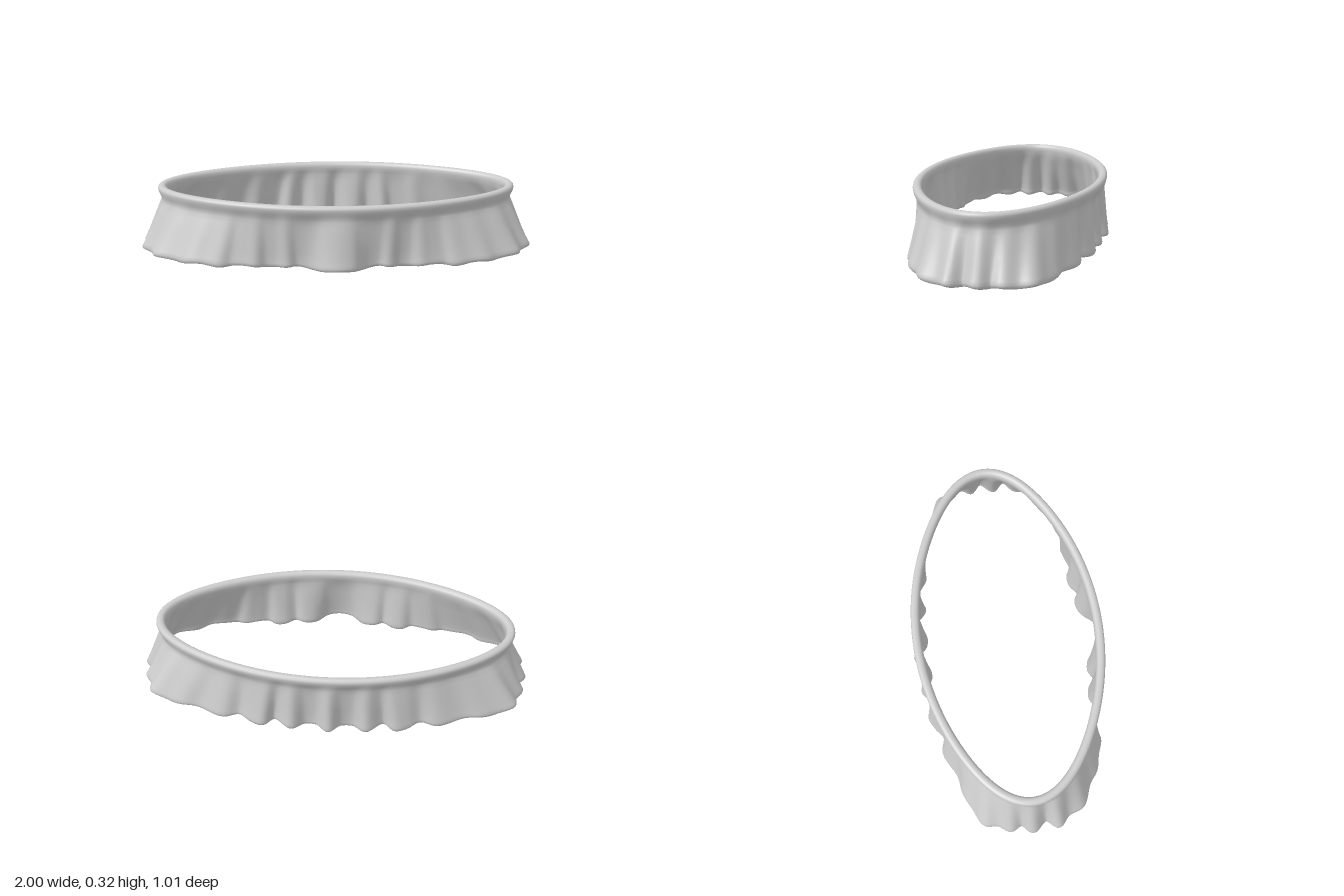
import * as THREE from 'three';

const SEGMENTS = 360;

// Right half of the pleated hem as [x, z], from centre front round to centre back
const HEM_HALF = [
  [0, 0.497], [0.07, 0.48], [0.115, 0.435], [0.15, 0.41], [0.2, 0.4], [0.245, 0.42],
  [0.3, 0.388], [0.35, 0.382], [0.4, 0.405], [0.46, 0.388], [0.52, 0.375], [0.575, 0.388],
  [0.65, 0.362], [0.73, 0.34], [0.79, 0.295], [0.9, 0.243], [0.93, 0.165], [0.983, 0.11],
  [0.94, 0.05], [0.99, -0.02], [0.945, -0.075], [0.968, -0.13], [0.93, -0.19],
  [0.92, -0.255], [0.83, -0.3], [0.75, -0.337], [0.66, -0.35], [0.53, -0.41],
  [0.45, -0.395], [0.39, -0.435], [0.325, -0.46], [0.27, -0.418], [0.185, -0.48],
  [0.12, -0.433], [0.06, -0.44], [0, -0.497],
];

// Mirror the half into one closed hem curve
function makeHem() {
  const left = HEM_HALF.slice(1, -1).reverse().map(([x, z]) => [-x, z]);
  const points = [...HEM_HALF, ...left].map(([x, z]) => new THREE.Vector3(x, 0, z));
  return new THREE.CatmullRomCurve3(points, true, 'centripetal');
}

// Matching hem and waist positions, with outward directions, round the garment
function makeStations() {
  const hem = makeHem();
  const points = Array.from({ length: SEGMENTS }, (_, i) => hem.getPoint(i / SEGMENTS));
  const reach = 14;
  return points.map((p, i) => {
    // the hem without its folds is a running average
    const mean = new THREE.Vector3();
    for (let k = -reach; k <= reach; k++) mean.add(points[(i + k + SEGMENTS) % SEGMENTS]);
    mean.divideScalar(2 * reach + 1);
    const tangent = hem.getTangent(i / SEGMENTS);
    const angle = Math.atan2(mean.x, mean.z / 0.49);
    const slim = 1 - 0.035 * Math.sin(2 * angle) ** 2;
    return {
      mean,
      fold: p.clone().sub(mean),
      hemOut: new THREE.Vector3(-tangent.z, 0, tangent.x),
      waist: new THREE.Vector3(0.886 * slim * Math.sin(angle), 0, 0.453 * slim * Math.cos(angle) - 0.007),
      waistOut: new THREE.Vector3(Math.sin(angle) / 0.886, 0, Math.cos(angle) / 0.453).normalize(),
      wave: 0.005 * (1 + Math.cos(angle * 24)),
    };
  });
}

// Sweep a closed profile of [height, outward offset] round the stations;
// the folds soften as the cloth rises and vanish in the waistband
function sweep(stations, profile) {
  const positions = [], indices = [];
  const rows = profile.length;
  for (const s of stations) {
    for (const [y, offset] of profile) {
      const t = THREE.MathUtils.clamp((y - 0.03) / 0.225, 0, 1);
      const foldAmount = (1 - 0.7 * t) * (1 - THREE.MathUtils.smoothstep(y, 0.22, 0.3));
      const out = s.hemOut.clone().lerp(s.waistOut, t).normalize();
      const p = s.mean.clone().lerp(s.waist, t)
        .addScaledVector(s.fold, foldAmount)
        .addScaledVector(out, offset);
      const drop = THREE.MathUtils.clamp(1 - y / 0.06, 0, 1);
      positions.push(p.x, y + s.wave * drop, p.z);
    }
  }
  for (let i = 0; i < SEGMENTS; i++) {
    const next = (i + 1) % SEGMENTS;
    for (let j = 0; j < rows; j++) {
      const k = (j + 1) % rows;
      const a = i * rows + j, b = next * rows + j;
      const c = next * rows + k, d = i * rows + k;
      indices.push(a, b, c, a, c, d);
    }
  }
  const geometry = new THREE.BufferGeometry();
  geometry.setAttribute('position', new THREE.Float32BufferAttribute(positions, 3));
  geometry.setIndex(indices);
  geometry.computeVertexNormals();
  return geometry;
}

export function createModel() {
  const group = new THREE.Group();
  group.name = 'skirt';
  const material = new THREE.MeshStandardMaterial({ color: 0xcccccc, side: THREE.DoubleSide });

  // Up the outside, over the rounded waistband, down the inside, round the hem
  const profile = [
    [0.004, 0.004], [0.012, 0.009], [0.024, 0.01], [0.04, 0.008], [0.08, 0.007], [0.13, 0.007],
    [0.18, 0.007], [0.22, 0.007], [0.245, 0.008], [0.262, 0.012], [0.278, 0.019],
    [0.294, 0.026], [0.308, 0.029], [0.318, 0.027], [0.325, 0.019], [0.327, 0.008],
    [0.325, -0.004], [0.318, -0.012], [0.307, -0.016], [0.292, -0.016], [0.275, -0.012],
    [0.255, -0.008], [0.22, -0.007], [0.18, -0.007], [0.13, -0.007], [0.08, -0.007],
    [0.04, -0.008], [0.024, -0.009], [0.01, -0.008], [0.002, -0.002],
  ];
  const cloth = new THREE.Mesh(sweep(makeStations(), profile), material);
  cloth.name = 'pleatedClothWithWaistband';
  group.add(cloth);
  return group;
}
